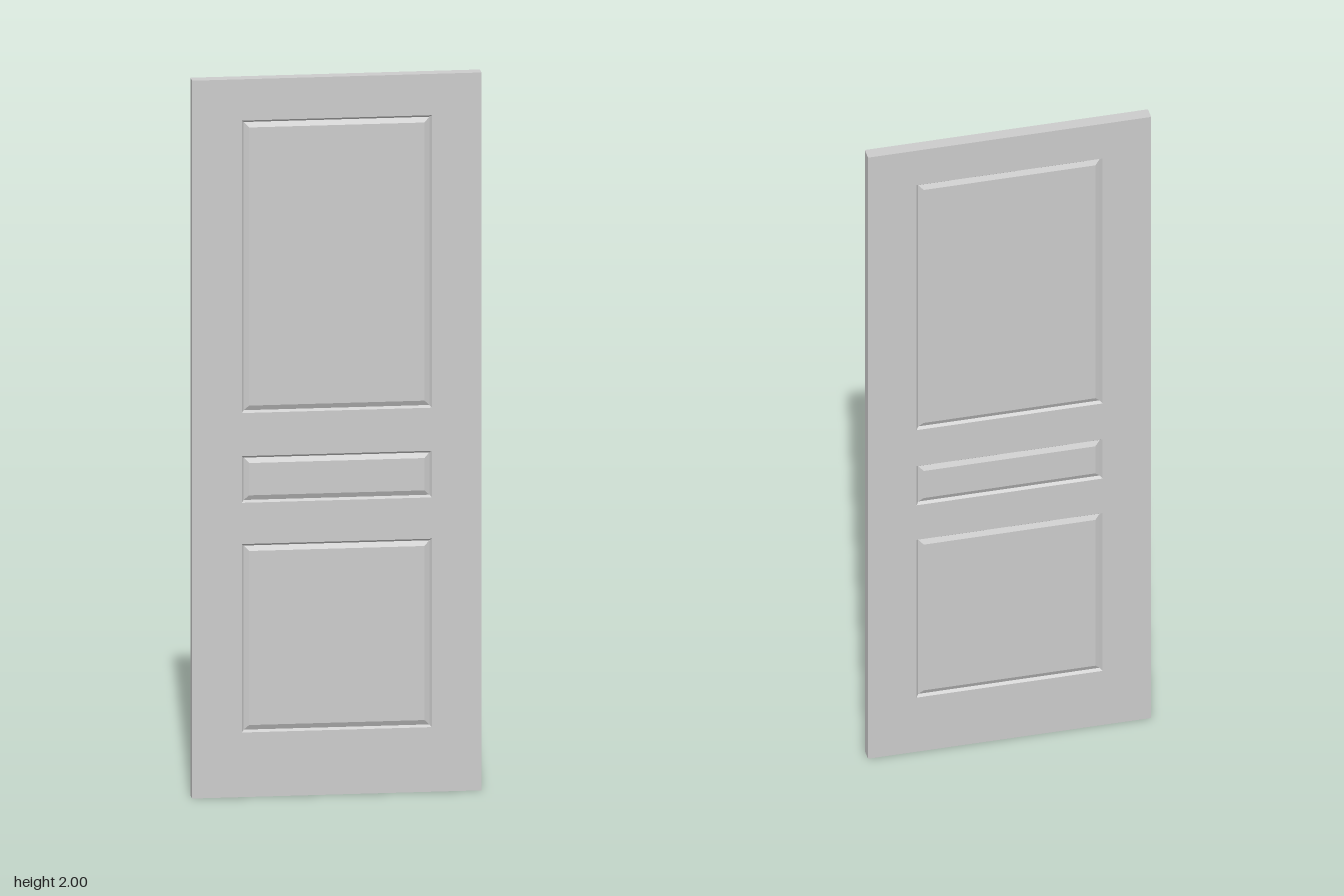
import * as THREE from 'three';

const W = 0.792, H = 2, T = 0.037;
const PANEL_HALF = 0.26;
const PANELS = [
  ['lowerPanel', 0.18, 0.705],
  ['middlePanel', 0.82, 0.95],
  ['upperPanel', 1.07, 1.885],
];
// groove section: [inset from the panel outline, height relative to the door face]
const GROOVE = [[0, 0], [0.006, -0.008], [0.02, -0.001]];

const material = new THREE.MeshStandardMaterial({ color: 0xcccccc, flatShading: true });

function rect(x0, y0, x1, y1, z) {
  return [[x0, y0, z], [x1, y0, z], [x1, y1, z], [x0, y1, z]];
}

// joins rectangular loops (counter-clockwise from +z) and optionally caps the last one
function loft(loops, cap) {
  const pos = [];
  const quad = (a, b, c, d) => pos.push(...a, ...b, ...c, ...a, ...c, ...d);
  for (let k = 0; k + 1 < loops.length; k++) {
    for (let i = 0; i < 4; i++) {
      const j = (i + 1) % 4;
      quad(loops[k][i], loops[k][j], loops[k + 1][j], loops[k + 1][i]);
    }
  }
  if (cap) quad(...loops[loops.length - 1]);
  const g = new THREE.BufferGeometry();
  g.setAttribute('position', new THREE.Float32BufferAttribute(pos, 3));
  g.computeVertexNormals();
  return g;
}

function mesh(geometry, name) {
  const m = new THREE.Mesh(geometry, material);
  m.name = name;
  return m;
}

// one face of the door, looking towards +z
function doorFace(name) {
  const face = new THREE.Group();
  face.name = name;

  // stiles and rails around the panel openings
  const shape = new THREE.Shape([
    new THREE.Vector2(-W / 2, 0), new THREE.Vector2(W / 2, 0),
    new THREE.Vector2(W / 2, H), new THREE.Vector2(-W / 2, H),
  ]);
  for (const [, y0, y1] of PANELS) {
    shape.holes.push(new THREE.Path(
      rect(-PANEL_HALF, y0, PANEL_HALF, y1, 0).map(([x, y]) => new THREE.Vector2(x, y)).reverse()));
  }
  face.add(mesh(new THREE.ShapeGeometry(shape).translate(0, 0, T / 2), 'stilesAndRails'));

  // grooved panels with raised fields
  for (const [panelName, y0, y1] of PANELS) {
    const loops = GROOVE.map(([d, h]) =>
      rect(-PANEL_HALF + d, y0 + d, PANEL_HALF - d, y1 - d, T / 2 + h));
    face.add(mesh(loft(loops, true), panelName));
  }
  return face;
}

export function createModel() {
  const door = new THREE.Group();
  door.name = 'door';

  // outer edges
  door.add(mesh(loft([-T / 2, T / 2].map((z) => rect(-W / 2, 0, W / 2, H, z)), false), 'doorEdges'));

  // both faces
  const back = doorFace('backFace');
  back.rotation.y = Math.PI;
  door.add(doorFace('frontFace'), back);

  // door leaf stands ajar
  door.rotation.y = THREE.MathUtils.degToRad(-29.5);
  const model = new THREE.Group();
  model.name = 'panelDoor';
  model.add(door);
  return model;
}
